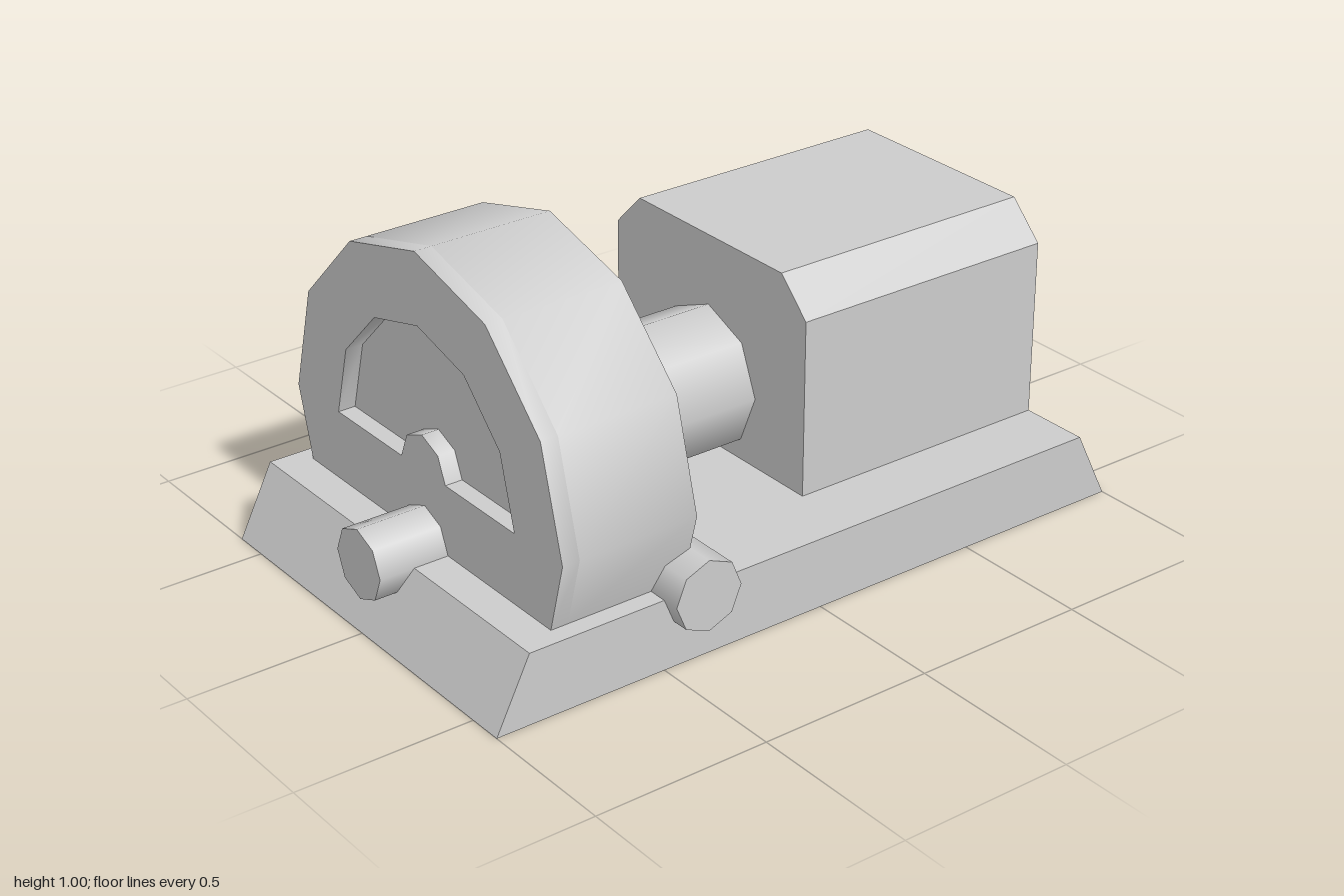
import * as THREE from 'three';
import { toCreasedNormals } from 'three/addons/utils/BufferGeometryUtils.js';

const material = new THREE.MeshStandardMaterial({ color: 0xcccccc });

function add(parent, name, geometry, x = 0, y = 0, z = 0) {
  const mesh = new THREE.Mesh(geometry, material);
  mesh.name = name;
  mesh.position.set(x, y, z);
  parent.add(mesh);
  return mesh;
}

// Points of a regular arc over the upper half, from +x to -x
function arch(radius, steps, cy) {
  return Array.from({ length: steps + 1 }, (_, i) => {
    const a = (Math.PI * i) / steps;
    return new THREE.Vector2(radius * Math.cos(a), cy + radius * Math.sin(a));
  });
}

function extrude(points, depth, hole) {
  const shape = new THREE.Shape(points);
  if (hole) shape.holes.push(new THREE.Path(hole));
  return new THREE.ExtrudeGeometry(shape, { depth, bevelEnabled: false });
}

// Round bar along z (or x), centred on its own origin
function bar(radius, length, sides, alongX = false) {
  const g = new THREE.CylinderGeometry(radius, radius, length, sides);
  return alongX ? g.rotateZ(Math.PI / 2) : g.rotateX(Math.PI / 2);
}

export function createModel() {
  const model = new THREE.Group();
  model.name = 'motorUnit';
  const v = (x, y) => new THREE.Vector2(x, y);

  // Base plate with sloping ends
  const plate = extrude([v(-1, 0), v(1, 0), v(0.9, 0.2), v(-0.9, 0.2)], 1.2);
  plate.translate(0, 0, -0.6).rotateY(Math.PI / 2);
  add(model, 'base', plate);

  // Drum, cut flat where it sits on the base, with a shallow window around the hub
  const drum = new THREE.Group();
  drum.name = 'drum';
  model.add(drum);
  const outline = [v(0.546, 0.2), ...arch(0.6, 6, 0.4), v(-0.546, 0.2)];
  const window = [...arch(0.4, 6, 0.4), ...arch(0.1, 4, 0.4).reverse()];
  const recess = 0.05;
  add(drum, 'drumBody', toCreasedNormals(extrude(outline, 0.4 - recess), 0.8), 0, 0, 0.4);
  add(drum, 'drumFace', toCreasedNormals(extrude(outline, recess, window), 0.8), 0, 0, 0.8 - recess);

  // Shaft from drum to housing
  add(model, 'shaft', bar(0.2, 0.5, 8), 0, 0.4, 0.15);

  // Housing with chamfered top edges
  add(model, 'housing', extrude([
    v(-0.4, 0.2), v(0.4, 0.2), v(0.4, 0.7), v(0.3, 0.8), v(-0.3, 0.8), v(-0.4, 0.7),
  ], 0.8), 0, 0, -0.9);

  // Cross bar, front stub and square rear stub
  add(model, 'crossBar', bar(0.1, 1.3, 8, true), 0, 0.2, 0.4);
  add(model, 'frontStub', bar(0.1, 0.2, 8), 0, 0.2, 0.9);
  const side = 0.1 * Math.SQRT2;
  add(model, 'rearStub', new THREE.BoxGeometry(side, side, 0.1), 0, 0.2, -0.95);

  return model;
}
